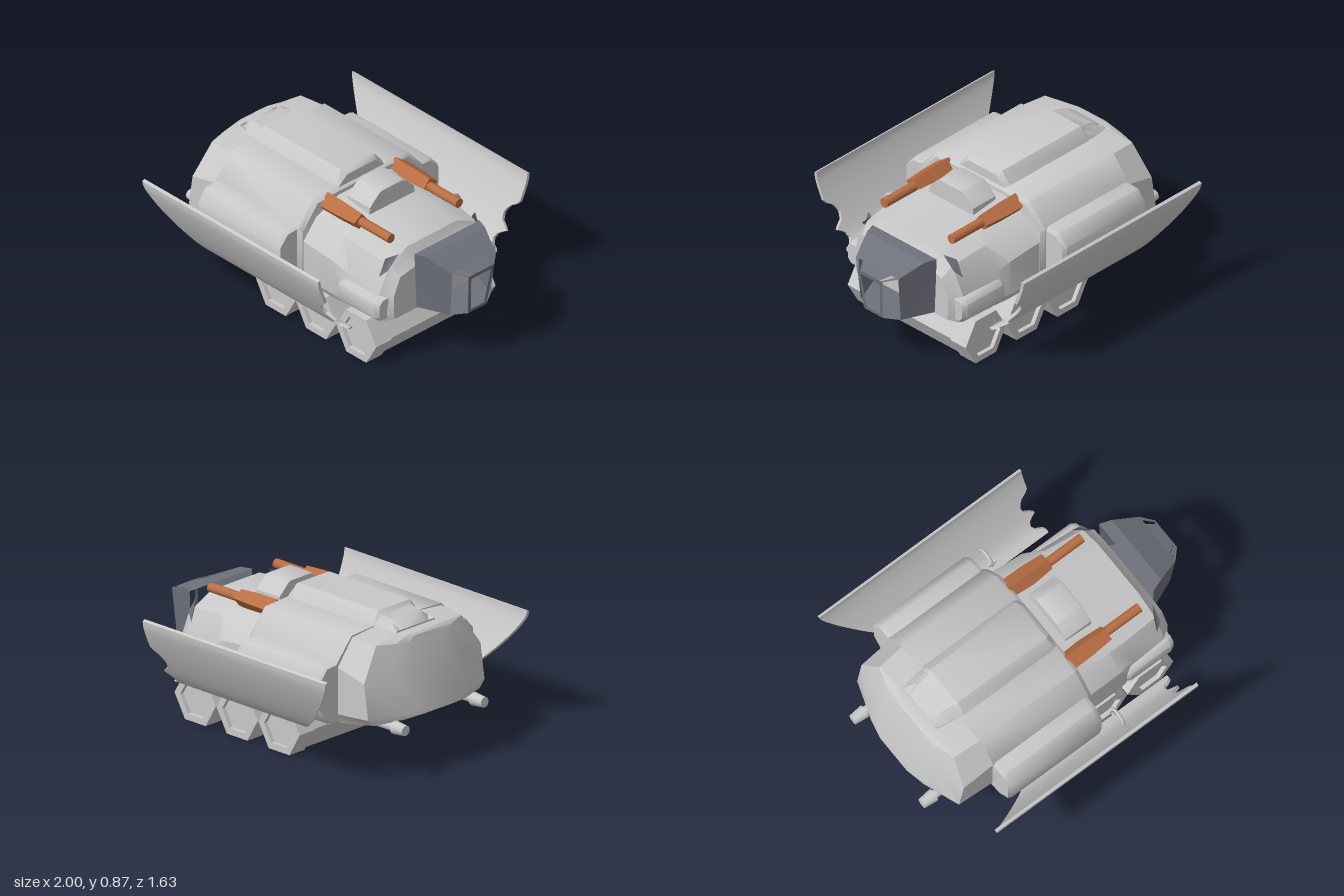
import * as THREE from 'three';
import { toCreasedNormals } from 'three/addons/utils/BufferGeometryUtils.js';

const mat = (name, color, side = THREE.FrontSide) => {
  const m = new THREE.MeshStandardMaterial({ color, side });
  m.name = name;
  return m;
};

// Joins closed rings of [x, y, z], ordered bottom, outer (+z), top, inner, running along +x
function loft(rings, crease = 0.5) {
  const n = rings[0].length, idx = [], last = (rings.length - 1) * n;
  for (let i = 0; i < rings.length - 1; i++) {
    for (let j = 0; j < n; j++) {
      const a = i * n + j, b = i * n + (j + 1) % n, c = a + n, d = b + n;
      idx.push(a, c, b, b, c, d);
    }
  }
  for (let j = 0; j < n / 2 - 1; j++) {
    const p = n - 1 - j, q = n - 2 - j;
    idx.push(j, q, p, j, j + 1, q);
    idx.push(last + j, last + p, last + q, last + j, last + q, last + j + 1);
  }
  const g = new THREE.BufferGeometry();
  g.setAttribute('position', new THREE.Float32BufferAttribute(rings.flat(2), 3));
  g.setIndex(idx);
  return toCreasedNormals(g, crease);
}

const mirrorRing = (ring) => ring.map(([x, y, z]) => [x, y, -z]).reverse();
// Full symmetric ring from half a section of [z, y]; shear leans it along x
function section(x, half, shear = 0) {
  const right = half.map(([z, y]) => [x + shear * (y - 0.35), y, z]);
  return [...right, ...mirrorRing(right)];
}

// Flat convex polygon
function panel(pts) {
  const g = new THREE.BufferGeometry(), idx = [];
  for (let i = 1; i < pts.length - 1; i++) idx.push(0, i, i + 1);
  g.setAttribute('position', new THREE.Float32BufferAttribute(pts.flat(), 3));
  g.setIndex(idx);
  g.computeVertexNormals();
  return g;
}

export function createModel() {
  const root = new THREE.Group();
  const grey = mat('hullGrey', 0xc8c8c8);
  const orange = mat('gunOrange', 0xb96e43);
  const dark = mat('canopySlate', 0x6e717b, THREE.DoubleSide);
  const add = (name, geo, m, x = 0, y = 0, z = 0) => {
    const mesh = new THREE.Mesh(geo, m);
    mesh.name = name;
    mesh.position.set(x, y, z);
    root.add(mesh);
  };
  const rod = (name, m, x0, x1, r0, r1, y, z) =>
    add(name, new THREE.CylinderGeometry(r1, r0, x1 - x0, 16).rotateZ(-Math.PI / 2), m, (x0 + x1) / 2, y, z);

  // Rear and middle hull
  const mid = [[0.44, 0.29], [0.48, 0.35], [0.48, 0.65], [0.36, 0.79], [0.2, 0.8]];
  add('rearHull', loft([
    section(-0.955, [[0.12, 0.35], [0.16, 0.38], [0.16, 0.62], [0.14, 0.75], [0.08, 0.775]], 0.27),
    section(-0.925, [[0.24, 0.34], [0.27, 0.37], [0.26, 0.62], [0.22, 0.76], [0.12, 0.785]], 0.23),
    section(-0.855, [[0.42, 0.33], [0.465, 0.37], [0.465, 0.58], [0.34, 0.77], [0.17, 0.79]], 0.15),
    section(-0.62, [[0.44, 0.29], [0.47, 0.35], [0.47, 0.63], [0.355, 0.78], [0.2, 0.795]]),
  ], 0.4), grey);
  add('middleHull', loft([section(-0.62, mid), section(0.05, mid),
    section(0.075, mid.map(([z, y]) => [z * 0.97, y - 0.02]))], 0.85), grey);

  // Sloping front hull
  add('frontHull', loft([
    section(0.05, [[0.43, 0.28], [0.46, 0.33], [0.46, 0.57], [0.36, 0.69], [0.19, 0.76]]),
    section(0.3, [[0.43, 0.28], [0.46, 0.33], [0.45, 0.54], [0.35, 0.66], [0.19, 0.73]]),
    section(0.4, [[0.42, 0.28], [0.44, 0.33], [0.42, 0.49], [0.35, 0.65], [0.19, 0.715]]),
    section(0.64, [[0.41, 0.28], [0.43, 0.33], [0.41, 0.46], [0.33, 0.62], [0.19, 0.685]]),
    section(0.665, [[0.4, 0.285], [0.41, 0.33], [0.39, 0.45], [0.32, 0.59], [0.19, 0.63]]),
    section(0.705, [[0.35, 0.3], [0.36, 0.34], [0.36, 0.45], [0.31, 0.56], [0.18, 0.585]]),
  ]), grey);

  // Roof hump and hatch
  const hump = (x, w, h) => section(x, [[w + 0.075, 0.77], [w + 0.06, 0.8], [w + 0.015, h - 0.015], [w, h]]);
  add('roofHump', loft([hump(-0.77, 0.09, 0.8), hump(-0.7, 0.105, 0.84), hump(-0.62, 0.115, 0.852),
    hump(-0.6, 0.125, 0.872), hump(0.03, 0.125, 0.872), hump(0.06, 0.11, 0.85)], 0.7), grey);
  const hatch = (x, h) => section(x, [[0.175, 0.68], [0.17, 0.77], [0.1, h - 0.01], [0.08, h]]);
  add('roofHatch', loft([hatch(0.13, 0.845), hatch(0.145, 0.853), hatch(0.29, 0.853), hatch(0.31, 0.845)], 0.7), grey);

  const podHalf = [[0.44, 0.29], [0.54, 0.31], [0.62, 0.4], [0.62, 0.58], [0.56, 0.65], [0.44, 0.66]];
  const pod = (x, k) => podHalf.map(([z, y]) => [x, 0.47 + (y - 0.47) * k, 0.44 + (z - 0.44) * k]);
  const frontPod = (x, k) => [[0.36, 0.3], [0.43, 0.3], [0.46, 0.33], [0.46, 0.42], [0.43, 0.45], [0.36, 0.45]]
    .map(([z, y]) => [x, 0.375 + (y - 0.375) * k, 0.36 + (z - 0.36) * k]);

  // Curved side armour: profile, sloped rear edge and notched front edge
  const curve = new THREE.SplineCurve([[0.555, 0.255], [0.625, 0.3], [0.69, 0.39], [0.76, 0.52], [0.805, 0.63], [0.815, 0.685]]
    .map(([z, y]) => new THREE.Vector2(z, y)));
  const edge = [[0.55, 0.56], [0.58, 0.56], [0.6, 0.51], [0.625, 0.49], [0.65, 0.5], [0.672, 0.56],
    [0.685, 0.5], [0.71, 0.48], [0.735, 0.5], [0.755, 0.565], [0.83, 0.57]];
  const frontX = (z) => {
    const i = Math.max(1, edge.findIndex((e) => e[0] >= z));
    const [a, b] = [edge[i - 1], edge[i]];
    return a[1] + (b[1] - a[1]) * (z - a[0]) / (b[0] - a[0]);
  };
  const prof = curve.getPoints(30);
  const armour = (front) => {
    const outer = prof.map((p) => [front ? frontX(p.x) : -0.86 + 1.68 * (0.815 - p.x), p.y, p.x]);
    return [...outer, ...outer.map(([x, y, z]) => [x, y + 0.008, z - 0.017]).reverse()];
  };

  for (const s of [1, -1]) {
    const side = s > 0 ? 'Left' : 'Right';
    const flip = (rings) => (s > 0 ? rings : rings.map(mirrorRing));
    add('sidePod' + side, loft(flip([pod(-0.62, 0.95), pod(-0.6, 1), pod(0.02, 1), pod(0.045, 0.93)]), 0.85), grey);
    add('frontPod' + side, loft(flip([frontPod(0.35, 0.9), frontPod(0.37, 1), frontPod(0.65, 1), frontPod(0.68, 0.85)]), 0.85), grey);
    add('sideArmour' + side, loft(flip([armour(false), armour(true)])), grey);

    // Ring joining armour to hull
    add('armourRing' + side, new THREE.TorusGeometry(0.055, 0.01, 8, 24, Math.PI * 1.4)
      .rotateZ(-0.2).rotateY(-s * Math.PI / 2), grey, 0.165, 0.385, s * 0.6);
    add('ringBracket' + side, new THREE.BoxGeometry(0.045, 0.02, 0.02), grey, 0.165, 0.4, s * 0.55);

    // Rear guns
    rod('rearBarrel' + side, grey, -0.93, -0.42, 0.026, 0.03, 0.31, s * 0.315);
    rod('rearMuzzle' + side, grey, -1.0, -0.915, 0.031, 0.04, 0.31, s * 0.315);

    // Roof guns
    const diamond = (x, k) => [[0.012, -0.058], [0.064, 0.008], [-0.012, 0.058], [-0.064, -0.008]]
      .map(([z, y]) => [x, 0.742 + y * k, 0.27 + z * k]);
    add('gunHousing' + side, loft(flip([diamond(0.06, 1), diamond(0.2, 0.97), diamond(0.34, 0.8)]), 0.05), orange);
    rod('gunBarrel' + side, orange, 0.33, 0.58, 0.028, 0.028, 0.737, s * 0.262);

    // Small dark brackets on the front shoulders
    add('shoulderBracket' + side, panel([[0.61, 0.55, s * 0.385], [0.655, 0.6, s * 0.36],
      [0.66, 0.68, s * 0.28], [0.62, 0.66, s * 0.345]]), dark);
  }

  // Hexagonal rollers with raised collars and recessed ends
  const hex = (r, h) => new THREE.CylinderGeometry(r, r, h, 6).toNonIndexed().rotateY(Math.PI / 6).rotateX(Math.PI / 2);
  const hexPoints = (r) => Array.from({ length: 6 }, (_, i) =>
    new THREE.Vector2(r * Math.cos(i * Math.PI / 3), r * Math.sin(i * Math.PI / 3)));
  const collarShape = new THREE.Shape(hexPoints(0.162));
  collarShape.holes.push(new THREE.Path(hexPoints(0.117)));
  const collar = new THREE.ExtrudeGeometry(collarShape, { depth: 0.12, bevelEnabled: false });
  const core = toCreasedNormals(hex(0.15, 0.87), 0.3);
  [-0.15, 0.178, 0.505].forEach((x, i) => {
    add('roller' + i, core, grey, x, 0.14, 0);
    add('rollerCollarLeft' + i, collar, grey, x, 0.14, 0.34);
    add('rollerCollarRight' + i, collar, grey, x, 0.14, -0.46);
  });

  // Open cockpit canopy, set slightly to one side
  const cz = -0.035;
  const rim = [[0.72, 0.68, 0.25], [0.79, 0.68, 0.225], [0.94, 0.61, 0.165]];
  const m = ([x, y, z]) => [x, y, -z];
  const both = (pts) => [...pts, ...pts.map(m).reverse()];
  const outer = [[1.0, 0.59, 0.1], [0.965, 0.32, 0.07]];
  const inner = [[0.997, 0.565, 0.075], [0.968, 0.34, 0.052]];
  const sidePts = [...rim, [0.91, 0.32, 0.155], [0.72, 0.32, 0.235]];
  const strut = [rim[2], outer[0], [1.0, 0.59, 0.085], [0.94, 0.61, 0.14]];
  for (const s of [1, -1]) {
    const side = s > 0 ? 'Left' : 'Right';
    const turn = (pts) => (s > 0 ? pts : pts.map(m));
    add('canopySide' + side, panel(turn(sidePts)), dark, 0, 0, cz);
    add('canopyStrut' + side, panel(turn(strut)), dark, 0, 0, cz);
  }
  add('canopyRoof', panel(both(rim.slice(0, 2))), dark, 0, 0, cz);
  add('canopyVisor', panel(both(rim.slice(1))), dark, 0, 0, cz);
  add('canopyNose', panel(both([[0.94, 0.61, 0.11], [1.0, 0.59, 0.075]])), dark, 0, 0, cz);
  add('canopyFloor', panel(both([[0.72, 0.32, 0.235], [0.91, 0.32, 0.155], outer[1]])), dark, 0, 0, cz);
  const o4 = both(outer), i4 = both(inner);
  for (let k = 0; k < 4; k++) {
    const l = (k + 1) % 4;
    add('canopyFrontFrame' + k, panel([o4[k], o4[l], i4[l], i4[k]]), dark, 0, 0, cz);
  }
  return root;
}
